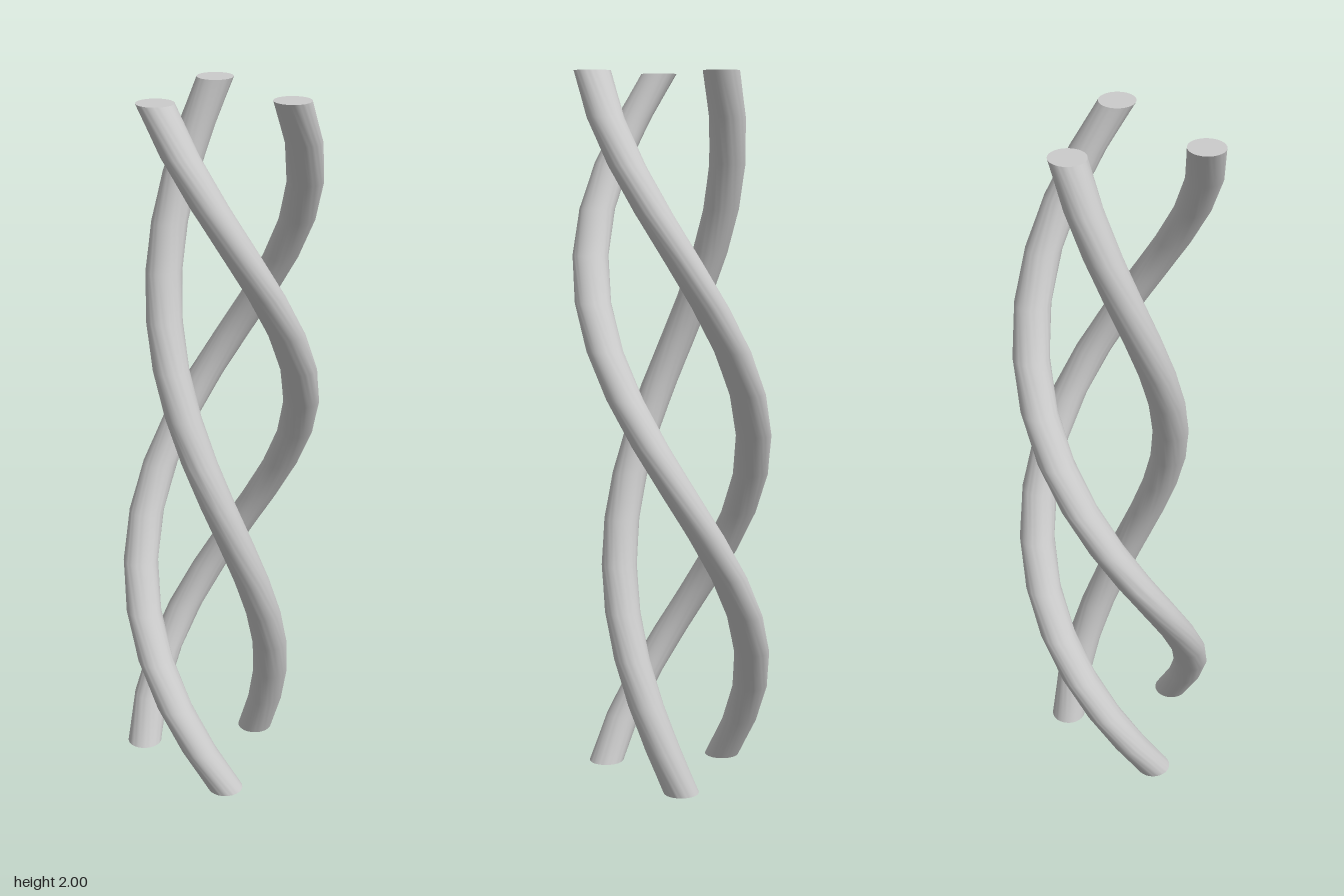
import * as THREE from 'three';
import { toCreasedNormals } from 'three/addons/utils/BufferGeometryUtils.js';

const HEIGHT = 2;
const ROD_RADIUS = 0.05;
const STEPS = 16; // rings of the twist
const TWIST = THREE.MathUtils.degToRad(310); // turn from top to bottom

// An upright off-centre rod twisted about the y axis; its ends stay level
function twistedRod(distance, topDegrees) {
  const geometry = new THREE.CylinderGeometry(ROD_RADIUS, ROD_RADIUS, HEIGHT, 40, STEPS);
  geometry.translate(distance, HEIGHT / 2, 0);
  const top = THREE.MathUtils.degToRad(topDegrees);
  const position = geometry.attributes.position;
  const up = new THREE.Vector3(0, 1, 0);
  const v = new THREE.Vector3();
  for (let i = 0; i < position.count; i++) {
    v.fromBufferAttribute(position, i);
    const angle = top - TWIST * (1 - v.y / HEIGHT);
    v.applyAxisAngle(up, -angle);
    position.setXYZ(i, v.x, v.y, v.z);
  }
  return toCreasedNormals(geometry, 0.8);
}

export function createModel() {
  const group = new THREE.Group();
  group.name = 'twistedRods';
  const material = new THREE.MeshStandardMaterial({ color: 0xcccccc });

  // Name, distance from the axis, angle of the top end (from +x towards +z)
  const rods = [
    ['innerRod', 0.152, -114.5],
    ['outerRodA', 0.228, 15.3],
    ['outerRodB', 0.228, 114.7],
  ];
  for (const [name, distance, topDegrees] of rods) {
    const rod = new THREE.Mesh(twistedRod(distance, topDegrees), material);
    rod.name = name;
    group.add(rod);
  }
  return group;
}
